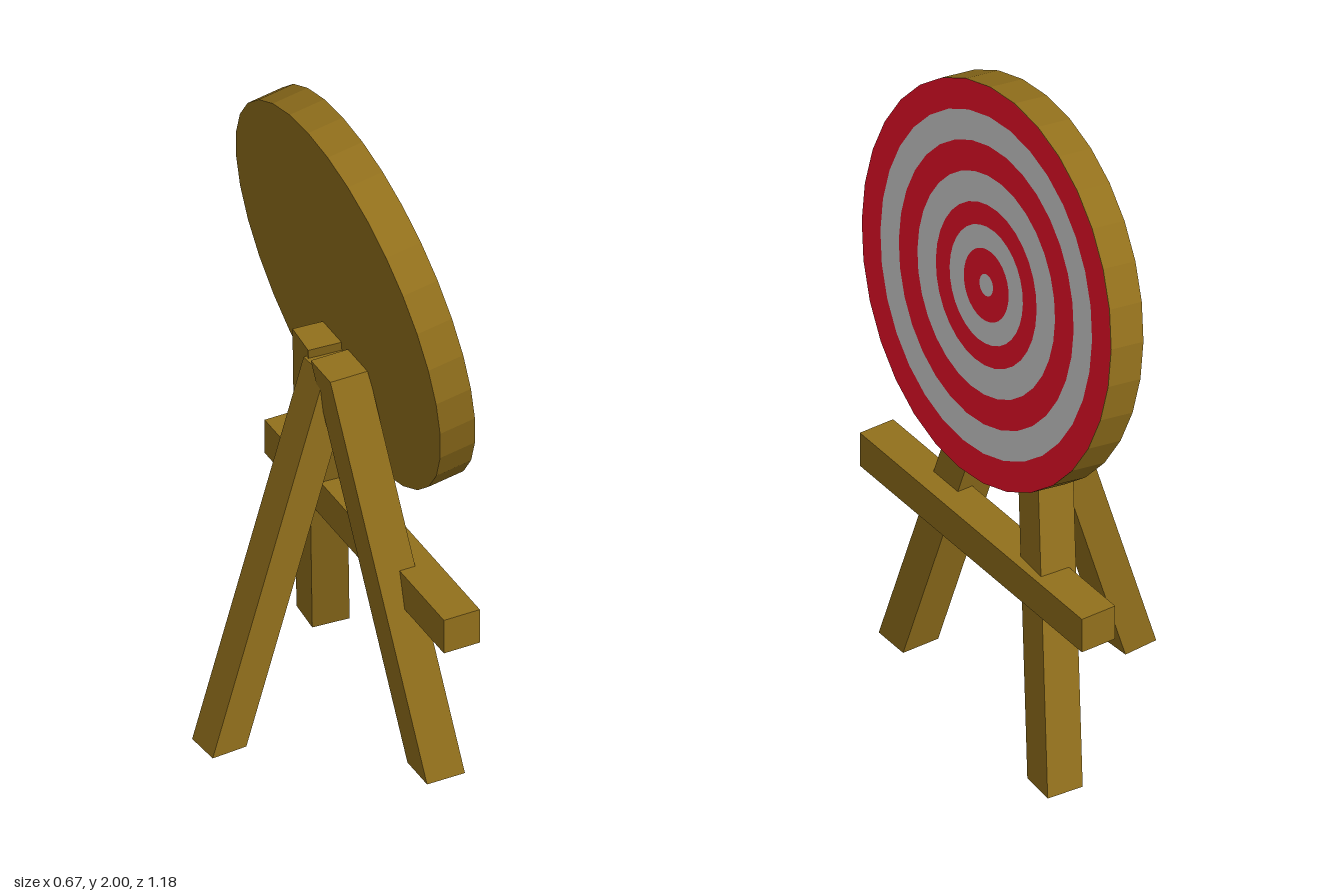
import * as THREE from 'three';

export function createModel() {
  const model = new THREE.Group();
  const material = (color) => new THREE.MeshStandardMaterial({ color, flatShading: true });
  const wood = material(0x92701c);
  const red = material(0xe81028);
  const pale = material(0xcccccc);

  const add = (parent, name, geometry, mat) => {
    const mesh = new THREE.Mesh(geometry, mat);
    mesh.name = name;
    parent.add(mesh);
    return mesh;
  };

  // Tilted round target, its face looking toward +x
  const target = new THREE.Group();
  target.name = 'target';
  target.position.set(0.152, 1.411, 0);
  target.rotation.z = 0.16;
  model.add(target);

  const radius = 0.588, thickness = 0.11, sides = 32;
  const disc = new THREE.CylinderGeometry(radius, radius, thickness, sides);
  disc.rotateZ(-Math.PI / 2);
  add(target, 'targetDisc', disc, wood);

  // Alternating painted rings, from the rim to the centre
  const radii = [radius, 0.5, 0.413, 0.325, 0.238, 0.173, 0.106, 0.032];
  radii.forEach((outer, i) => {
    const inner = radii[i + 1];
    const ring = inner
      ? new THREE.RingGeometry(inner, outer, sides)
      : new THREE.CircleGeometry(outer, sides);
    ring.rotateY(Math.PI / 2);
    ring.translate(thickness / 2 + 0.002, 0, 0);
    add(target, inner ? 'ring' + (i + 1) : 'bullseye', ring, i % 2 ? pale : red);
  });

  // Slanted leg with level ends: a box sheared from foot to top
  function leg(name, foot, top, width, yaw) {
    const geometry = new THREE.BoxGeometry(width, 1, width);
    geometry.rotateY(yaw);
    const p = geometry.attributes.position;
    for (let i = 0; i < p.count; i++) {
      const t = p.getY(i) + 0.5;
      p.setXYZ(i,
        p.getX(i) + THREE.MathUtils.lerp(foot[0], top[0], t),
        THREE.MathUtils.lerp(foot[1], top[1], t),
        p.getZ(i) + THREE.MathUtils.lerp(foot[2], top[2], t));
    }
    geometry.computeVertexNormals();
    add(model, name, geometry, wood);
  }
  leg('leftFrontLeg', [0.206, 0, 0.38], [0.073, 1.205, 0.056], 0.118, 0);
  leg('rightFrontLeg', [0.27, 0, -0.422], [0.09, 1.205, -0.1], 0.112, -0.08);
  leg('rearLeg', [-0.278, 0.01, 0.01], [0.085, 1.17, -0.02], 0.109, 0.07);

  // Crossbar on the front legs
  add(model, 'crossbar', new THREE.BoxGeometry(0.112, 0.112, 1.076), wood)
    .position.set(0.204, 0.564, 0);

  return model;
}
